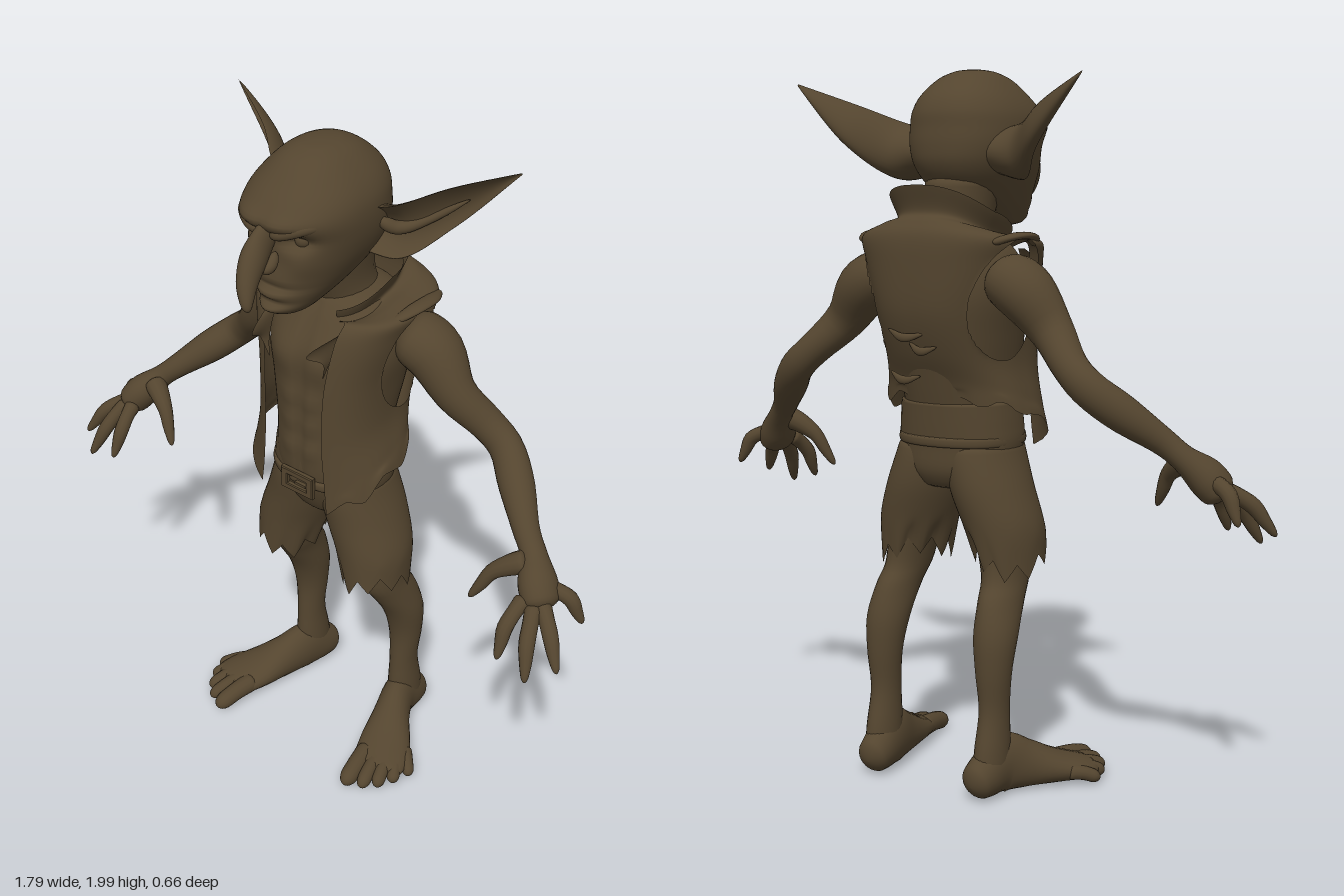
import * as THREE from 'three';

const V = (x, y, z) => new THREE.Vector3(x, y, z);
const brown = new THREE.MeshStandardMaterial({ color: 0x54452f, side: THREE.DoubleSide });
brown.name = 'earthy brown';

const smooth = THREE.MathUtils.smoothstep;
const bump = (dx, dy, r, s = r) => Math.exp(-((dx / r) ** 2) - ((dy / s) ** 2));

// Grid surface from point(t, a); triangles whose corners are all cut are left out
function surface(nt, na, closed, a0, a1, point) {
  const pos = [], cut = [], idx = [], cols = closed ? na : na + 1;
  for (let i = 0; i <= nt; i++) for (let j = 0; j < cols; j++) {
    const p = point(i / nt, a0 + (a1 - a0) * j / na);
    pos.push(p.x, p.y, p.z);
    cut.push(p.cut);
  }
  const tri = (a, b, c) => { if (!(cut[a] && cut[b] && cut[c])) idx.push(a, b, c); };
  for (let i = 0; i < nt; i++) for (let j = 0; j < na; j++) {
    const a = i * cols + j, b = i * cols + (j + 1) % cols;
    tri(a, a + cols, b);
    tri(b, a + cols, b + cols);
  }
  const g = new THREE.BufferGeometry();
  g.setAttribute('position', new THREE.Float32BufferAttribute(pos, 3));
  g.setIndex(idx);
  g.computeVertexNormals();
  return g;
}

// Smooth loft through rows of [x, y, z, radius, radius]; flat keeps the rings level,
// ref is the direction the second radius leans to
function loft(rows, o = {}) {
  const { flat = false, nt = 28, na = 24, ends = [0.08, 0.08], pow = 1, ref = V(0, 0, 1), deform, arc } = o;
  const path = new THREE.CatmullRomCurve3(rows.map(r => V(r[0], r[1], r[2])), false, 'catmullrom');
  const radii = new THREE.CatmullRomCurve3(rows.map(r => V(r[3], r[4] ?? r[3], 0)), false, 'catmullrom');
  const cap = (t, e) => (t >= e ? 1 : Math.sqrt(Math.max(0, 1 - (1 - t / e) ** 2)));
  const power = c => Math.sign(c) * Math.abs(c) ** pow;
  return surface(nt, na, !arc, arc ? arc[0] : 0, arc ? arc[1] : Math.PI * 2, (s, a) => {
    const t = (1 - Math.cos(Math.PI * s)) / 2, c = path.getPoint(t), r = radii.getPoint(t);
    const d = flat ? V(0, 1, 0) : path.getTangent(t);
    const u = d.clone().cross(ref).normalize(), v = u.clone().cross(d);
    const k = cap(t, ends[0]) * cap(1 - t, ends[1]);
    c.addScaledVector(u, power(Math.cos(a)) * r.x * k).addScaledVector(v, power(Math.sin(a)) * r.y * k);
    if (deform) deform(c, a, t);
    return c;
  });
}

const add = (group, name, geo) => {
  const m = new THREE.Mesh(geo, brown);
  m.name = name;
  group.add(m);
  return m;
};

function addHead(g) {
  const head = [
    [0, 1.57, 0.10, 0.045, 0.07], [0, 1.60, 0.09, 0.072, 0.105], [0, 1.64, 0.05, 0.1, 0.145],
    [0, 1.69, 0.01, 0.128, 0.18], [0, 1.74, -0.01, 0.15, 0.195], [0, 1.79, -0.01, 0.163, 0.203],
    [0, 1.84, 0.0, 0.166, 0.21], [0, 1.885, -0.005, 0.157, 0.2], [0, 1.93, -0.015, 0.13, 0.165],
    [0, 1.975, -0.015, 0.085, 0.11], [0, 2.0, -0.015, 0.035, 0.045]];
  add(g, 'head', loft(head, {
    flat: true, nt: 72, na: 80, pow: 0.88, ends: [0.04, 0.03], deform: p => {
      if (p.z < 0.02) return;
      const x = Math.abs(p.x);
      p.z += -0.035 * bump(x - 0.07, p.y - 1.797, 0.04, 0.022) + 0.022 * bump(x - 0.05, p.y - 1.85, 0.07, 0.024)
        + 0.012 * bump(x - 0.095, p.y - 1.735, 0.04) - 0.016 * bump(x, p.y - 1.658, 0.07, 0.008)
        - 0.012 * bump(x, p.y - 1.615, 0.06, 0.01) + 0.012 * bump(x, p.y - 1.64, 0.045, 0.012)
        + 0.014 * bump(x, p.y - 1.595, 0.04, 0.015);
    } }));
  add(g, 'nose', loft([[0, 1.845, 0.17, 0.022, 0.025], [0, 1.802, 0.212, 0.024, 0.042], [0.006, 1.765, 0.256, 0.032, 0.042],
    [0.018, 1.72, 0.294, 0.028, 0.031], [0.035, 1.68, 0.317, 0.018, 0.018], [0.045, 1.655, 0.322, 0.008, 0.008]], { ref: V(0, 1, 1) }));
  add(g, 'neck', loft([[0, 1.42, -0.14, 0.14, 0.1], [0, 1.52, -0.12, 0.1, 0.105],
    [0, 1.6, -0.09, 0.088, 0.11], [0, 1.72, -0.06, 0.105, 0.13]], { flat: true }));
}

function addFaceSide(g) {
  add(g, 'eye', new THREE.SphereGeometry(0.024, 16, 12)).position.set(0.07, 1.797, 0.138);
  add(g, 'brow', loft([[0.015, 1.815, 0.2, 0.013], [0.05, 1.826, 0.202, 0.016],
    [0.095, 1.842, 0.175, 0.016], [0.135, 1.848, 0.118, 0.01]], { ends: [0.2, 0.2] }));
  add(g, 'nostril', loft([[0.022, 1.765, 0.19, 0.012], [0.03, 1.74, 0.222, 0.017], [0.024, 1.733, 0.25, 0.012]],
    { ends: [0.3, 0.3], ref: V(0, 1, 0) }));
  // Long pointed ear, hollow at the front
  const top = new THREE.CatmullRomCurve3([V(0.13, 1.84, -0.03), V(0.2, 1.855, -0.055), V(0.31, 1.905, -0.14), V(0.47, 1.967, -0.22)]);
  const low = new THREE.CatmullRomCurve3([V(0.12, 1.71, -0.04), V(0.21, 1.7, -0.08), V(0.31, 1.785, -0.18), V(0.47, 1.962, -0.222)]);
  add(g, 'ear', surface(32, 32, true, 0, Math.PI * 2, (t, a) => {
    const p = top.getPoint(t).lerp(low.getPoint(t), (1 - Math.cos(a)) / 2), s = Math.sin(a);
    p.z -= (s < 0 ? 0.065 * s * s : 0.11 * s) * (1 - t) ** 0.7;
    return p;
  }));
  add(g, 'innerEarRidge', loft([[0.15, 1.8, -0.06, 0.018], [0.19, 1.775, -0.1, 0.018],
    [0.25, 1.8, -0.15, 0.012], [0.34, 1.865, -0.195, 0.006]], { ends: [0.2, 0.2] }));
}

function addBody(g) {
  add(g, 'torso', loft([[0, 0.9, -0.08, 0.14, 0.13], [0, 1.02, -0.07, 0.155, 0.15], [0, 1.15, -0.085, 0.16, 0.165],
    [0, 1.28, -0.1, 0.18, 0.18], [0, 1.4, -0.11, 0.2, 0.185], [0, 1.5, -0.12, 0.18, 0.15], [0, 1.58, -0.12, 0.09, 0.09]], {
    flat: true, nt: 56, na: 64, pow: 0.9, deform: p => {
      if (p.z < 0) return;
      const x = Math.abs(p.x);
      p.z += 0.014 * bump(x - 0.07, p.y - 1.39, 0.055) - 0.008 * bump(x, 0, 0.012);
      for (const y of [1.1, 1.18, 1.26]) p.z += 0.009 * bump(x - 0.038, p.y - y, 0.03);
    } }));
  add(g, 'shortsSeat', loft([[0, 0.84, -0.09, 0.09, 0.1], [0, 0.9, -0.09, 0.155, 0.135], [0, 0.97, -0.08, 0.178, 0.15],
    [0, 1.03, -0.08, 0.175, 0.155], [0, 1.1, -0.085, 0.165, 0.155]], { flat: true, na: 40, pow: 0.9, ends: [0.1, 0.02] }));
  add(g, 'belt', loft([[0, 0.97, -0.078, 0.176, 0.158], [0, 0.985, -0.078, 0.179, 0.163], [0, 1.005, -0.078, 0.176, 0.161]],
    { flat: true, nt: 8, na: 48, pow: 0.9 }));
  // Buckle frame with its pin
  const frame = new THREE.Shape([[-0.055, -0.032], [0.055, -0.032], [0.055, 0.032], [-0.055, 0.032]].map(q => new THREE.Vector2(...q)));
  frame.holes.push(new THREE.Path([[-0.038, -0.018], [-0.038, 0.018], [0.038, 0.018], [0.038, -0.018]].map(q => new THREE.Vector2(...q))));
  const buckle = new THREE.ExtrudeGeometry(frame, { depth: 0.012, bevelSize: 0.003, bevelThickness: 0.003, bevelSegments: 1 });
  add(g, 'buckle', buckle).position.set(0, 0.985, 0.08);
  add(g, 'bucklePin', new THREE.BoxGeometry(0.04, 0.008, 0.012)).position.set(0.015, 0.985, 0.09);
}

function addVest(g) {
  const rows = [[0, 0.925, -0.055, 0.232, 0.172], [0, 1.02, -0.063, 0.214, 0.18], [0, 1.16, -0.08, 0.196, 0.2],
    [0, 1.33, -0.1, 0.203, 0.217], [0, 1.47, -0.115, 0.235, 0.21], [0, 1.55, -0.13, 0.25, 0.19],
    [0, 1.59, -0.13, 0.19, 0.165], [0, 1.615, -0.13, 0.135, 0.14], [0, 1.685, -0.13, 0.155, 0.16]];
  const gap = 0.44;
  add(g, 'vest', loft(rows, {
    flat: true, nt: 80, na: 120, pow: 0.78, ends: [0, 0], arc: [Math.PI / 2 + gap, Math.PI * 2.5 - gap],
    deform: (p, a, t) => {
      const f = (1 + Math.sin(a)) / 2;
      p.y += 0.17 * (1 - f ** 1.8) * (1 - smooth(t, 0, 0.45)) - 0.15 * f * smooth(t, 0.5, 1);
      p.y += 0.018 * (1 - smooth(t, 0, 0.1)) * (Math.abs((a * 3.1) % 2 - 1) + Math.sin(a * 9) * 0.5);
      // Arm holes
      const dz = (p.z + 0.15) / 0.125, dy = (p.y - 1.38) / 0.165, q = Math.hypot(dz, dy);
      if (q < 1 && Math.abs(p.x) > 0.12) {
        p.z = -0.15 + 0.125 * dz / q;
        p.y = 1.38 + 0.165 * dy / q;
        p.cut = true;
      }
    } }));
  // Torn flaps on the back
  for (const [x, y, z, w] of [[0.03, 1.29, -0.308, 0.06], [-0.02, 1.255, -0.3, 0.045], [0.06, 1.17, -0.272, 0.05]])
    add(g, 'tornFlap', loft([[x - w, y, z + 0.01, 0.003], [x, y - 0.012, z - 0.004, 0.012, 0.008], [x + w, y + 0.008, z + 0.01, 0.003]]));
}

function addVestSide(g) {
  // Pointed lapel and thin shoulder edge
  const lapel = new THREE.CatmullRomCurve3([V(0.095, 1.37, 0.09), V(0.105, 1.41, 0.08), V(0.11, 1.46, 0.06), V(0.12, 1.51, 0.02)]);
  const edge = new THREE.CatmullRomCurve3([V(0.095, 1.37, 0.093), V(0.11, 1.43, 0.11), V(0.095, 1.468, 0.16), V(0.135, 1.51, 0.03)]);
  add(g, 'lapel', surface(16, 4, false, 0, 1, (t, a) => lapel.getPoint(t).lerp(edge.getPoint(t), a)));
  add(g, 'shoulderEdge', loft([[0.215, 1.525, -0.04, 0.01], [0.24, 1.548, -0.1, 0.022, 0.01],
    [0.243, 1.55, -0.18, 0.022, 0.01], [0.22, 1.535, -0.25, 0.01]], { ref: V(0, 1, 0) }));
}

function addArm(g) {
  add(g, 'arm', loft([[0.17, 1.45, -0.15, 0.07, 0.085], [0.265, 1.405, -0.168, 0.08, 0.088], [0.35, 1.305, -0.165, 0.06, 0.058],
    [0.43, 1.222, -0.205, 0.048, 0.05], [0.495, 1.165, -0.212, 0.05, 0.046], [0.565, 1.103, -0.165, 0.05, 0.05],
    [0.645, 1.032, -0.1, 0.037, 0.038], [0.695, 0.985, -0.07, 0.035, 0.038], [0.74, 0.935, -0.03, 0.05, 0.058],
    [0.78, 0.88, 0.0, 0.045, 0.056]], { nt: 48, ends: [0.06, 0.05] }));
  // Thumb, then four fingers: base, knuckle, tip
  const fingers = [
    [0.7, 0.98, -0.04, 0.615, 0.925, 0, 0.565, 0.83, 0.03], [0.735, 0.91, 0.02, 0.725, 0.85, 0.09, 0.73, 0.765, 0.13],
    [0.765, 0.9, 0.02, 0.795, 0.83, 0.09, 0.825, 0.74, 0.135], [0.775, 0.9, 0, 0.84, 0.855, 0.05, 0.89, 0.775, 0.085],
    [0.765, 0.925, -0.04, 0.825, 0.9, -0.065, 0.86, 0.825, -0.08]];
  fingers.forEach((f, i) => add(g, i ? 'finger' : 'thumb', loft([[f[0], f[1], f[2], i ? 0.026 : 0.036],
    [(f[0] + f[3]) / 2, (f[1] + f[4]) / 2 + 0.006, (f[2] + f[5]) / 2, i ? 0.022 : 0.03],
    [f[3], f[4], f[5], 0.022], [(f[3] + f[6]) / 2, (f[4] + f[7]) / 2, (f[5] + f[8]) / 2, 0.017],
    [f[6], f[7], f[8], 0.008]], { nt: 20, na: 12 })));
}

function addLeg(g) {
  add(g, 'leg', loft([[0.19, 0.05, -0.215, 0.045, 0.06], [0.19, 0.14, -0.205, 0.044, 0.063], [0.19, 0.25, -0.196, 0.04, 0.05],
    [0.19, 0.36, -0.2, 0.05, 0.054], [0.187, 0.46, -0.185, 0.06, 0.068], [0.178, 0.55, -0.145, 0.056, 0.083],
    [0.168, 0.61, -0.11, 0.058, 0.085], [0.155, 0.7, -0.1, 0.068, 0.09], [0.14, 0.8, -0.09, 0.08, 0.1]], { flat: true, nt: 44 }));
  add(g, 'shortsLeg', loft([[0.166, 0.655, -0.078, 0.09, 0.115], [0.145, 0.75, -0.085, 0.108, 0.125],
    [0.11, 0.85, -0.09, 0.11, 0.135], [0.088, 0.93, -0.085, 0.102, 0.138], [0.08, 0.99, -0.08, 0.09, 0.13]], {
    flat: true, na: 54, ends: [0, 0.1], deform: (p, a, t) => {
      p.y += (1 - smooth(t, 0, 0.3)) * (0.05 * Math.abs((a * 9 / Math.PI) % 2 - 1) + 0.02 * Math.sin(a * 2) - 0.03);
      p.x = Math.max(p.x, -0.005);
    } }));
  // Foot from heel to ball
  add(g, 'foot', loft([[0.18, 0.05, -0.295, 0.042, 0.042], [0.185, 0.07, -0.24, 0.05, 0.065], [0.195, 0.09, -0.17, 0.05, 0.085],
    [0.222, 0.075, -0.1, 0.058, 0.07], [0.262, 0.055, -0.02, 0.078, 0.048], [0.295, 0.043, 0.045, 0.084, 0.035],
    [0.315, 0.035, 0.1, 0.068, 0.025]], { nt: 40, ref: V(0, 1, 0), deform: p => { p.y = Math.max(p.y, 0.008); } }));
  // Toes from the big one outward
  [[0.24, 0.04, 0.265, 0.19, 0.032], [0.282, 0.05, 0.312, 0.168, 0.025], [0.312, 0.04, 0.347, 0.135, 0.024],
    [0.33, 0.015, 0.374, 0.09, 0.023], [0.33, -0.03, 0.395, 0.035, 0.022]].forEach(([x, z, X, Z, r]) =>
    add(g, 'toe', loft([[x, 0.048, z, r], [(x + X) / 2, 0.042, (z + Z) / 2, r * 0.9], [X, 0.025, Z, r * 0.85]], {
      nt: 18, na: 14, ends: [0.1, 0.25], ref: V(0, 1, 0), deform: p => { p.y = Math.max(p.y, 0.002); } })));
}

export function createModel() {
  const model = new THREE.Group();
  model.name = 'goblin';
  addHead(model);
  addBody(model);
  addVest(model);
  const left = new THREE.Group();
  left.name = 'leftSide';
  for (const build of [addFaceSide, addVestSide, addArm, addLeg]) build(left);
  const right = left.clone();
  right.name = 'rightSide';
  right.scale.x = -1;
  model.add(left, right);
  return model;
}
